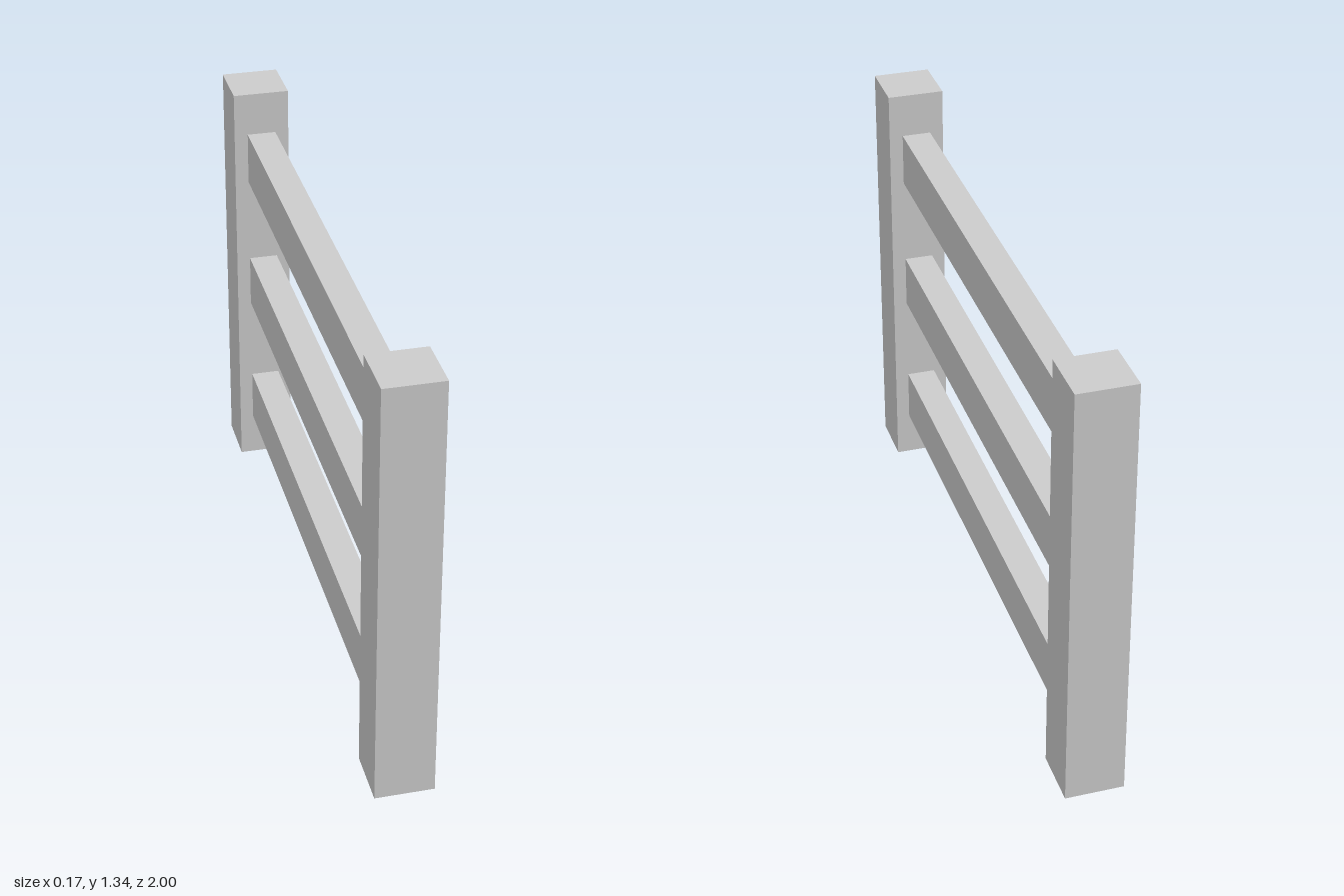
import * as THREE from 'three';

export function createModel() {
  const group = new THREE.Group();
  const material = new THREE.MeshStandardMaterial({ color: 0xcccccc, flatShading: true });

  const POST = 0.175, HEIGHT = 1.335;
  const postZ = 1 - POST / 2;

  const addBox = (name, w, h, d, y, z) => {
    const mesh = new THREE.Mesh(new THREE.BoxGeometry(w, h, d), material);
    mesh.name = name;
    mesh.position.set(0, y, z);
    group.add(mesh);
  };

  // Square end posts
  addBox('frontPost', POST, HEIGHT, POST, HEIGHT / 2, postZ);
  addBox('backPost', POST, HEIGHT, POST, HEIGHT / 2, -postZ);

  // Three horizontal rails spanning between the posts
  const rails = { lowerRail: 0.226, middleRail: 0.67, upperRail: 1.114 };
  for (const [name, y] of Object.entries(rails)) {
    addBox(name, 0.09, 0.167, 2 - 2 * POST, y, 0);
  }

  return group;
}
